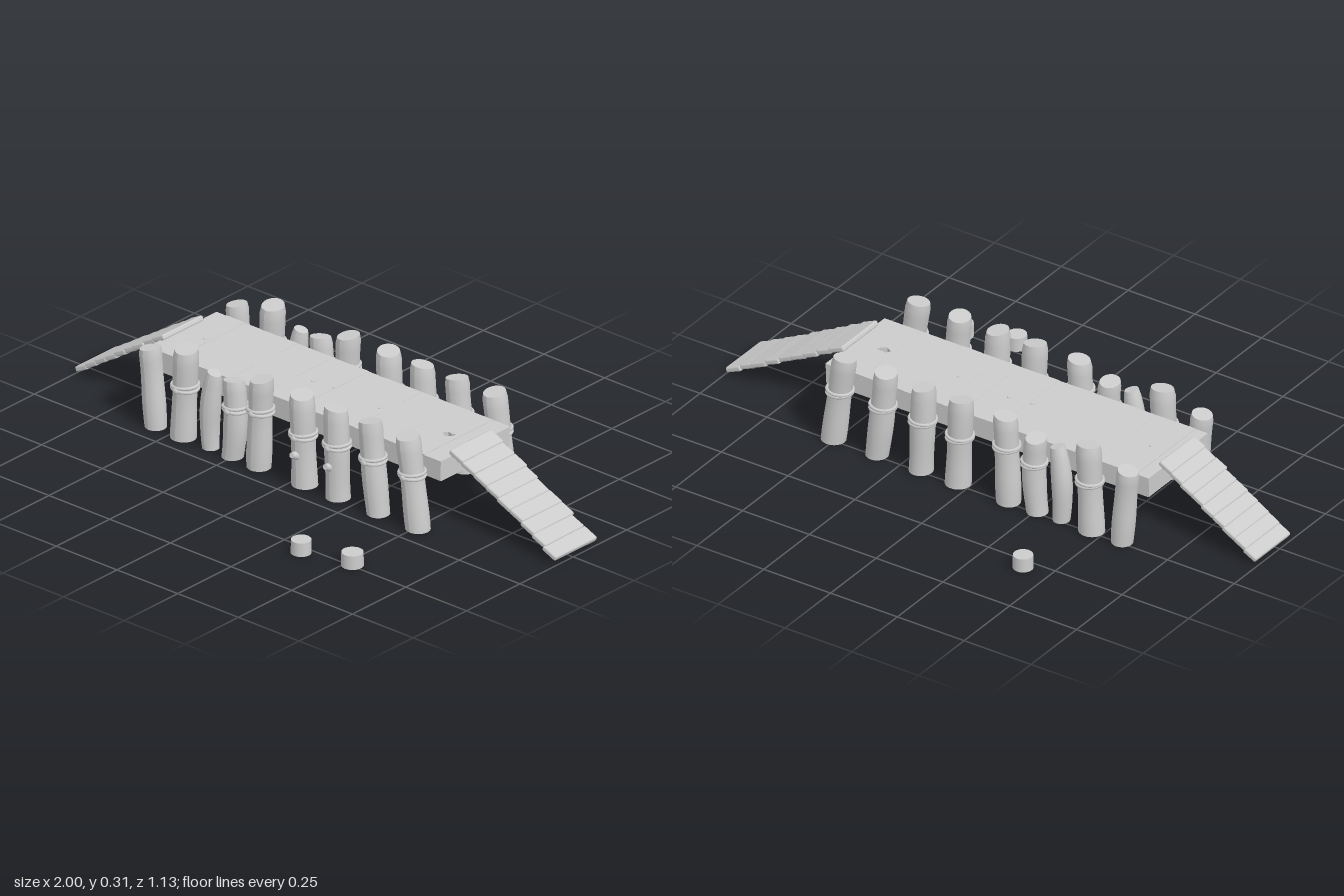
import * as THREE from 'three';
import { RoundedBoxGeometry } from 'three/addons/geometries/RoundedBoxGeometry.js';

const mat = new THREE.MeshStandardMaterial({ color: 0xcccccc });
const MID = -0.0375; // centre line of the deck in z

// Small seeded generator for hand-made irregularity
let seed = 7;
const rnd = () => (seed = (seed * 16807) % 2147483647) / 2147483647;
const vary = (a) => (rnd() - 0.5) * 2 * a;

function add(parent, name, geometry, x = 0, y = 0, z = 0) {
  const mesh = new THREE.Mesh(geometry, mat);
  mesh.name = name;
  mesh.position.set(x, y, z);
  parent.add(mesh);
  return mesh;
}

// Posts: x at the foot, middle and top, height, radius, rope height (0 = none), knot height (0 = none)
const POSTS = [
  { x: [-0.572, -0.583, -0.595], h: 0.27, r: 0.036, rope: 0, knot: 0 },
  { x: [-0.458, -0.452, -0.446], h: 0.314, r: 0.040, rope: 0.18, knot: 0 },
  { x: [-0.345, -0.347, -0.330], h: 0.268, r: 0.029, rope: 0, knot: 0 },
  { x: [-0.255, -0.243, -0.250], h: 0.27, r: 0.037, rope: 0.175, knot: 0 },
  { x: [-0.147, -0.142, -0.135], h: 0.311, r: 0.039, rope: 0.2, knot: 0 },
  { x: [0.042, 0.036, 0.030], h: 0.312, r: 0.040, rope: 0.175, knot: 0.115 },
  { x: [0.180, 0.175, 0.170], h: 0.311, r: 0.040, rope: 0.185, knot: 0.12 },
  { x: [0.345, 0.326, 0.312], h: 0.313, r: 0.039, rope: 0.185, knot: 0 },
  { x: [0.508, 0.488, 0.466], h: 0.313, r: 0.039, rope: 0.185, knot: 0 },
];

// Centre of a leaning post at height t (0..1)
function postX(p, t) {
  const [a, b, c] = p.x;
  return a + (4 * b - 3 * a - c) * t + (2 * a + 2 * c - 4 * b) * t * t;
}

// Log: a cylinder bent along its lean, with a wavy radius and a slanted, softened top
function logGeometry(p, phase) {
  const g = new THREE.CylinderGeometry(1, 1, 1, 20, 14);
  const pos = g.attributes.position;
  const slim = p.r < 0.035;
  for (let i = 0; i < pos.count; i++) {
    const t = pos.getY(i) + 0.5;
    const a = Math.atan2(pos.getZ(i), pos.getX(i));
    const d = Math.hypot(pos.getX(i), pos.getZ(i));
    let k = 1 + 0.04 * Math.sin(t * 7 + phase) + 0.025 * Math.sin(2 * a + t * 5 + phase);
    if (slim) k *= 0.85 + 0.3 * Math.sin(Math.PI * Math.min(1, t * 0.9 + 0.1));
    if (t > 0.99) k *= 0.9;
    const slant = t * t * 0.012 * Math.cos(a + phase) * d;
    pos.setXYZ(i, postX(p, t) + Math.cos(a) * d * k * p.r,
      t * (p.h - 0.006) + slant * 0.5, Math.sin(a) * d * k * p.r);
  }
  g.computeVertexNormals();
  return g;
}

function addPost(parent, p, index, z) {
  const post = new THREE.Group();
  post.name = 'post' + (index + 1);
  post.position.z = z;
  parent.add(post);
  add(post, 'log', logGeometry(p, index * 1.7));
  // Two loops of rope with a knot on the front
  if (p.rope) {
    const x = postX(p, p.rope / p.h);
    for (const s of [-1, 1]) {
      const loop = add(post, 'ropeLoop', new THREE.TorusGeometry(p.r + 0.002, 0.0055, 8, 28), x, p.rope + s * 0.005, 0);
      loop.rotation.set(Math.PI / 2, s * 0.06, 0);
    }
    const knot = add(post, 'ropeKnot', new THREE.SphereGeometry(0.009, 10, 8), x, p.rope - 0.004, p.r + 0.005);
    knot.scale.set(1.3, 1.2, 0.8);
  }
  // Stub of a cut branch
  if (p.knot) {
    const stub = add(post, 'branchStub', new THREE.CylinderGeometry(0.009, 0.015, 0.026, 12),
      postX(p, p.knot / p.h), p.knot, p.r + 0.005);
    stub.rotation.x = Math.PI / 2 - 0.35;
  }
}

// Deck plank, optionally with a ragged hole; lies flat with its top at y = top
function plankGeometry(w, d, h, hole) {
  const s = new THREE.Shape([[-w, -d], [w, -d], [w, d], [-w, d]].map(([x, y]) => new THREE.Vector2(x / 2, y / 2)));
  if (hole) {
    const path = [[-0.022, -0.004], [-0.012, 0.013], [0.004, 0.009], [0.02, 0.014], [0.018, -0.003], [0.0, -0.016]];
    s.holes.push(new THREE.Path(path.map(([x, y]) => new THREE.Vector2(x, y - hole))));
  }
  return new THREE.ExtrudeGeometry(s, { depth: h, bevelEnabled: false }).rotateX(-Math.PI / 2);
}

function addDeck(parent) {
  const deck = new THREE.Group();
  deck.name = 'deck';
  parent.add(deck);
  const x0 = -0.6, x1 = 0.495, n = 15, step = (x1 - x0) / n;
  for (let i = 0; i < n; i++) {
    const holed = i === n - 1;
    add(deck, 'deckPlank', plankGeometry(step, 0.325 - rnd() * 0.004, 0.018 + vary(0.0008), holed ? 0.006 : 0),
      x0 + (i + 0.5) * step, 0.216, MID);
  }
  // Wider boards closing both ends
  add(deck, 'endBoard', plankGeometry(0.045, 0.325, 0.017), -0.6225, 0.216, MID);
  add(deck, 'endBoard', plankGeometry(0.07, 0.325, 0.017), 0.53, 0.216, MID);

  // Open frame beneath the planks
  for (const s of [-1, 1])
    add(deck, 'sideBeam', new THREE.BoxGeometry(1.2, 0.054, 0.03), -0.04, 0.191, MID + s * 0.146);
  for (const x of [-0.629, 0.549])
    add(deck, 'endBeam', new THREE.BoxGeometry(0.03, 0.054, 0.32), x, 0.191, MID);

  // Wooden pegs standing just above the surface
  for (const [x, z] of [[-0.545, -0.035], [-0.1, -0.035], [-0.02, -0.045], [0.18, -0.03]])
    add(deck, 'peg', new THREE.CylinderGeometry(0.008, 0.009, 0.003, 10), x, 0.2355, z);
}

// Ramp of overlapping planks running down from the deck; side is -1 or 1
function addRamp(parent, side, topX, z) {
  const ramp = new THREE.Group();
  ramp.name = side < 0 ? 'rightRamp' : 'leftRamp';
  parent.add(ramp);
  const a = new THREE.Vector2(topX, 0.247), b = new THREE.Vector2(side * 0.992, 0.016);
  const run = a.distanceTo(b), n = 9;
  const slope = Math.atan2(b.y - a.y, Math.abs(b.x - a.x));
  for (let i = 0; i < n; i++) {
    const t = (i + 0.5) / n;
    const plank = add(ramp, 'rampPlank',
      new RoundedBoxGeometry(run / n + 0.005, 0.018, 0.19 + vary(0.006), 2, 0.006),
      a.x + (b.x - a.x) * t, a.y + (b.y - a.y) * t, z + vary(0.003));
    plank.rotation.z = side * (slope + 0.07 + vary(0.025));
    plank.rotation.y = vary(0.015);
  }
}

export function createModel() {
  const model = new THREE.Group();
  model.name = 'woodenFootbridge';
  seed = 7;

  addDeck(model);
  addRamp(model, -1, -0.635, -0.029);
  addRamp(model, 1, 0.558, -0.022);

  // Matching rows of posts along the front and the back
  for (const [name, z] of [['frontPosts', 0.168], ['backPosts', -0.238]]) {
    const row = new THREE.Group();
    row.name = name;
    model.add(row);
    POSTS.forEach((p, i) => addPost(row, p, i, z));
  }

  // Loose sawn stumps on the ground
  for (const [x, z, r] of [[-0.405, -0.537, 0.033], [0.347, 0.532, 0.033], [0.524, 0.493, 0.036]])
    add(model, 'stump', new THREE.CylinderGeometry(r * 0.97, r, 0.046, 18), x, 0.023, z);

  return model;
}
